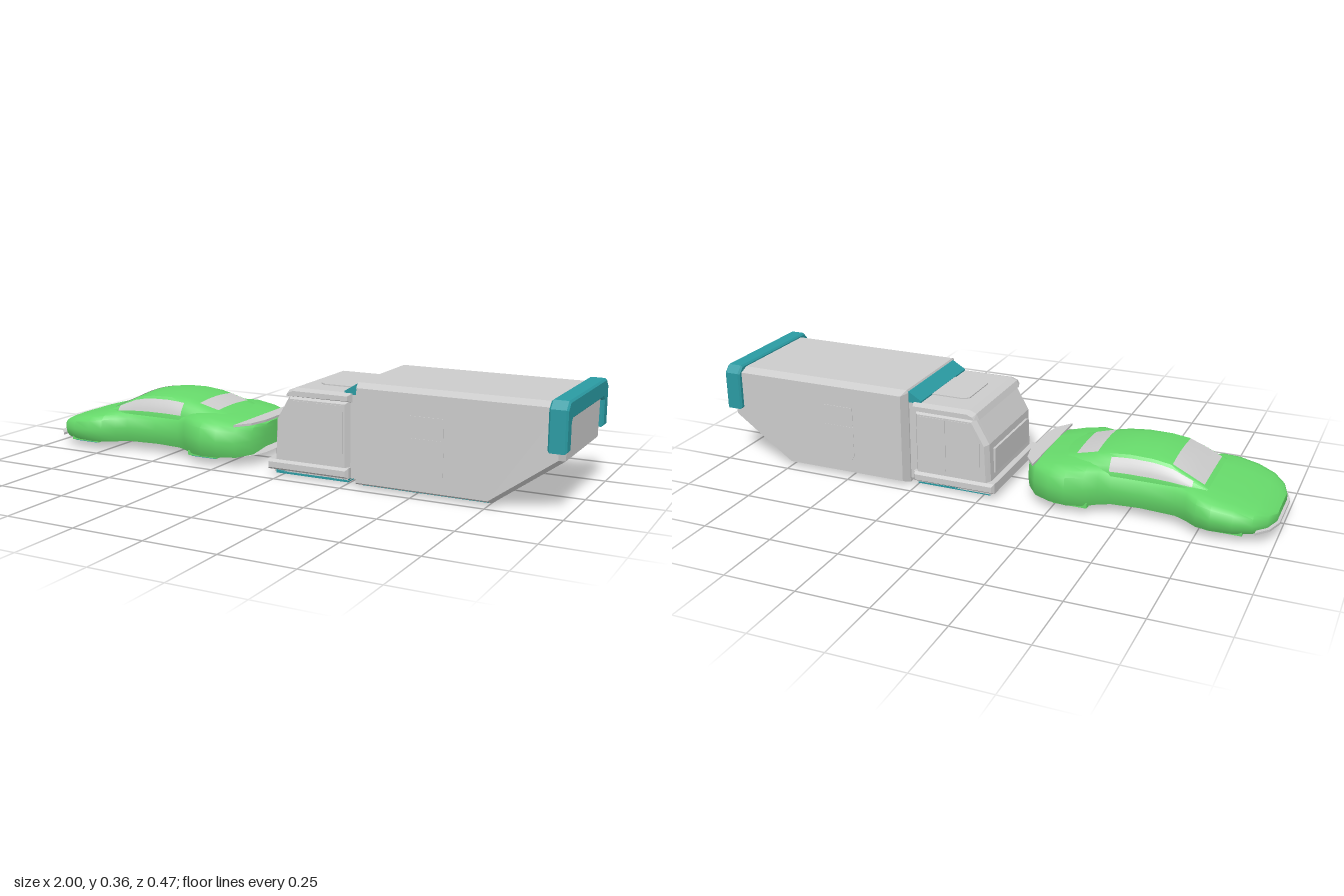
import * as THREE from 'three';
import { toCreasedNormals } from 'three/addons/utils/BufferGeometryUtils.js';

const material = (color) => new THREE.MeshStandardMaterial({ color, side: THREE.DoubleSide });
const grey = material(0xcccccc), green = material(0x66d96a), teal = material(0x2a9aa2);

function add(group, name, geometry, mat, x = 0, y = 0, z = 0) {
  const mesh = new THREE.Mesh(geometry, mat);
  mesh.name = name;
  mesh.position.set(x, y, z);
  group.add(mesh);
  return mesh;
}

// Box given by its lower and upper corners
function block(group, name, mat, [x0, y0, z0], [x1, y1, z1]) {
  return add(group, name, new THREE.BoxGeometry(x1 - x0, y1 - y0, z1 - z0), mat,
    (x0 + x1) / 2, (y0 + y1) / 2, (z0 + z1) / 2);
}

const shapeOf = (pts) => new THREE.Shape(pts.map(([a, b]) => new THREE.Vector2(a, b)));

// Side profile extruded across z, with chamfered edges, total half width w
function slab(pts, w, size, thickness) {
  const geo = new THREE.ExtrudeGeometry(shapeOf(pts), {
    depth: 2 * (w - thickness), bevelEnabled: size > 0, bevelSegments: 1,
    bevelSize: size, bevelOffset: -size, bevelThickness: thickness,
  });
  return geo.translate(0, 0, thickness - w);
}

// Thin panel standing slightly proud of both sides
function sidePanels(group, name, pts, z, mat = grey) {
  for (const s of [1, -1]) {
    const geo = new THREE.ExtrudeGeometry(shapeOf(pts), { depth: 0.004, bevelEnabled: false });
    add(group, name, geo, mat, 0, 0, s * z - 0.002);
  }
}

const rect = (x0, y0, x1, y1) => [[x0, y0], [x1, y0], [x1, y1], [x0, y1]];

// Skin over a grid of points: rows run along +x, columns from +z over the top to -z
function skin(rows, crease = 0.7) {
  const n = rows[0].length, index = [];
  for (let i = 0; i < rows.length - 1; i++) {
    for (let j = 0; j < n - 1; j++) {
      const a = i * n + j, b = a + n;
      index.push(a, b, a + 1, b, b + 1, a + 1);
    }
  }
  const geo = new THREE.BufferGeometry();
  geo.setAttribute('position', new THREE.Float32BufferAttribute(rows.flat(2), 3));
  geo.setIndex(index);
  return toCreasedNormals(geo, crease);
}

// Linear lookup in a table of [x, value, value...] rows
function lookup(table, x) {
  let i = 0;
  while (i < table.length - 2 && x > table[i + 1][0]) i++;
  const a = table[i], b = table[i + 1];
  const t = THREE.MathUtils.clamp((x - a[0]) / (b[0] - a[0]), 0, 1);
  return a.map((v, k) => v + (b[k] - v) * t);
}

const range = (a, b, n) => Array.from({ length: n + 1 }, (_, i) => a + (b - a) * i / n);

function createCar() {
  const car = new THREE.Group();
  car.name = 'sportsCar';

  // Stations: x, half width, bottom, top
  const stations = [
    [-0.99, 0.09, 0.045, 0.078], [-0.97, 0.15, 0.038, 0.092], [-0.93, 0.195, 0.035, 0.108],
    [-0.87, 0.222, 0.035, 0.124], [-0.8, 0.23, 0.035, 0.138], [-0.75, 0.218, 0.035, 0.146],
    [-0.71, 0.186, 0.035, 0.15], [-0.67, 0.166, 0.037, 0.153], [-0.55, 0.157, 0.038, 0.155],
    [-0.45, 0.163, 0.037, 0.162], [-0.41, 0.182, 0.036, 0.17], [-0.37, 0.212, 0.035, 0.176],
    [-0.31, 0.232, 0.035, 0.175], [-0.25, 0.222, 0.035, 0.167], [-0.19, 0.193, 0.036, 0.157],
    [-0.15, 0.14, 0.042, 0.152], [-0.135, 0.07, 0.06, 0.145],
  ];
  const half = [[0.92, 0], [0.98, 0.2], [1, 0.45], [0.97, 0.75], [0.9, 0.88], [0.76, 0.96], [0.4, 1]];
  const ring = [...half, [0, 1], ...half.map(([z, y]) => [-z, y]).reverse()];
  const first = stations[0], last = stations[stations.length - 1];
  const all = [[first[0], 0, first[2], first[3]], ...stations, [last[0], 0, last[2], last[3]]];
  add(car, 'body', skin(all.map(([x, w, b, t]) => ring.map(([z, y]) => [x, b + (t - b) * y, z * w]))), green);

  // Flat underside
  const outline = (scale, from, to) => {
    const s = stations.filter(([x]) => x >= from && x <= to);
    return [...s.map(([x, w]) => [x, w * scale]), ...s.map(([x, w]) => [x, -w * scale]).reverse()];
  };
  const floor = new THREE.ShapeGeometry(shapeOf(outline(0.92, -1, 0))).rotateX(Math.PI / 2);
  add(car, 'underside', floor, grey, 0, 0.038, 0);

  // Thin lips at the nose and tail
  const lip = (from, to) => new THREE.ExtrudeGeometry(shapeOf(outline(1.03, from, to)),
    { depth: 0.008, bevelEnabled: false }).rotateX(Math.PI / 2);
  add(car, 'frontSplitter', lip(-1, -0.9), grey, -0.01, 0.049, 0);
  add(car, 'rearLip', lip(-0.2, 0), grey, 0.003, 0.158, 0);

  // Cabin: x, crown height, half width at the belt, half width at the roof
  const cabin = [
    [-0.77, 0.143, 0.14, 0.13], [-0.7, 0.182, 0.15, 0.128], [-0.64, 0.212, 0.152, 0.122],
    [-0.58, 0.222, 0.152, 0.12], [-0.5, 0.224, 0.152, 0.118], [-0.43, 0.216, 0.154, 0.117],
    [-0.38, 0.204, 0.155, 0.115], [-0.3, 0.18, 0.15, 0.11], [-0.22, 0.158, 0.14, 0.1],
  ];
  const base = 0.14;
  const roof = (x, u, lift = 0) => {
    const [, top, , wr] = lookup(cabin, x);
    return [x, top - (top - base) * 0.13 * u * u + lift, wr * u];
  };
  const flank = (x, t, side, lift = 0) => {
    const [, top, wb, wr] = lookup(cabin, x);
    const edge = top - (top - base) * 0.13;
    return [x, base + (edge - base) * t, side * (wb + (wr - wb) * t * t + lift)];
  };
  const across = range(1, -1, 8), up = range(0, 1, 4);
  add(car, 'cabin', skin(cabin.map(([x]) => [
    ...up.map((t) => flank(x, t, 1)),
    ...across.slice(1, -1).map((u) => roof(x, u)),
    ...up.map((t) => flank(x, t, -1)).reverse(),
  ])), green);

  // Windows follow the cabin surface
  const glass = (name, x0, x1, w) => add(car, name,
    skin(range(x0, x1, 6).map((x) => across.map((u) => roof(x, u * w, 0.002)))), grey);
  glass('windscreen', -0.755, -0.645, 0.96);
  glass('rearWindow', -0.385, -0.31, 0.92);
  for (const s of [1, -1]) {
    const rows = range(-0.72, -0.44, 8).map((x) => {
      const t = range(0.24, 0.88, 4);
      return (s > 0 ? t : t.reverse()).map((v) => flank(x, v, s, 0.002));
    });
    add(car, 'sideWindow', skin(rows), grey);
  }

  // Wheel pads under the arches
  for (const x of [-0.84, -0.32]) for (const s of [1, -1]) {
    block(car, 'wheelHousing', green, [x - 0.06, 0.028, s * 0.155 - 0.042], [x + 0.06, 0.045, s * 0.155 + 0.042]);
    block(car, 'wheel', teal, [x - 0.05, 0.024, s * 0.155 - 0.034], [x + 0.05, 0.04, s * 0.155 + 0.034]);
  }
  return car;
}

function createTruck() {
  const truck = new THREE.Group();
  truck.name = 'truck';

  // Cargo box with its undercut tail
  const box = [[0.28, 0.005], [0.755, 0.005], [0.982, 0.168], [0.985, 0.35], [0.285, 0.35], [0.28, 0.34]];
  add(truck, 'cargoBox', slab(box, 0.22, 0.014, 0.034), grey);
  block(truck, 'boxUnderside', teal, [0.3, 0.002, -0.18], [0.74, 0.02, 0.18]);
  const tail = add(truck, 'tailPanel', new THREE.BoxGeometry(0.23, 0.004, 0.36), grey, 0.868, 0.088, 0);
  tail.rotation.z = Math.atan2(0.163, 0.227);
  sidePanels(truck, 'doorWindow', rect(0.485, 0.2, 0.6, 0.265), 0.22);
  sidePanels(truck, 'sideDoor', [[0.5, 0.06], [0.6, 0.06], [0.6, 0.192], [0.485, 0.192], [0.485, 0.08]], 0.219);

  // Hoop over the tail
  const hoop = [[0.237, 0.2], [0.237, 0.335], [0.212, 0.36], [-0.212, 0.36], [-0.237, 0.335], [-0.237, 0.2],
    [-0.19, 0.2], [-0.19, 0.29], [-0.18, 0.3], [0.18, 0.3], [0.19, 0.29], [0.19, 0.2]];
  const hoopMesh = add(truck, 'rearHoop', slab(hoop, 0.03, 0.006, 0.006), teal, 0.967, 0, 0);
  hoopMesh.rotation.y = Math.PI / 2;

  // Cab, bumper sill and the joint behind it
  const cab = [[-0.028, 0.04], [0.255, 0.04], [0.255, 0.285], [0.03, 0.285], [-0.022, 0.195]];
  add(truck, 'cab', slab(cab, 0.2, 0.012, 0.02), grey);
  add(truck, 'cabRoof', slab([[0.015, 0.278], [0.262, 0.278], [0.262, 0.31], [0.05, 0.31], [0.025, 0.3]],
    0.205, 0.008, 0.025), grey);
  add(truck, 'bumperSill', slab(rect(-0.048, 0.022, 0.258, 0.058), 0.212, 0.008, 0.012), grey);
  block(truck, 'cabFloor', grey, [-0.03, 0.01, -0.185], [0.25, 0.03, 0.185]);
  block(truck, 'joint', grey, [0.24, 0.02, -0.18], [0.29, 0.305, 0.18]);
  for (const s of [1, -1]) {
    block(truck, 'cabPad', teal, [-0.025, 0.006, s * 0.13 - 0.055], [0.25, 0.02, s * 0.13 + 0.055]);
  }

  // Cab windows, grille and roof hatch
  const screen = add(truck, 'windscreen', new THREE.BoxGeometry(0.085, 0.006, 0.34), grey, 0.004, 0.24, 0);
  screen.rotation.z = Math.atan2(0.09, 0.052);
  block(truck, 'grille', grey, [-0.032, 0.08, -0.15], [-0.02, 0.17, 0.15]);
  sidePanels(truck, 'cabDoor', rect(0.135, 0.075, 0.235, 0.268), 0.2);
  sidePanels(truck, 'cabSideWindow', [[0.005, 0.08], [0.12, 0.08], [0.12, 0.268], [0.042, 0.268], [0.005, 0.2]], 0.2);
  const hatch = shapeOf([[0.095, -0.08], [0.115, -0.095], [0.245, -0.095], [0.245, 0.095], [0.115, 0.095], [0.095, 0.08]]);
  add(truck, 'roofHatch', new THREE.ExtrudeGeometry(hatch, { depth: 0.005, bevelEnabled: false })
    .rotateX(-Math.PI / 2), grey, 0, 0.309, 0);

  // Sloped fairing between cab roof and cargo box
  add(truck, 'roofFairing', slab([[0.232, 0.305], [0.29, 0.305], [0.29, 0.345], [0.278, 0.343], [0.232, 0.315]],
    0.182, 0, 0), teal);
  return truck;
}

export function createModel() {
  const model = new THREE.Group();
  model.name = 'carAndTruck';
  model.add(createCar(), createTruck());
  return model;
}
